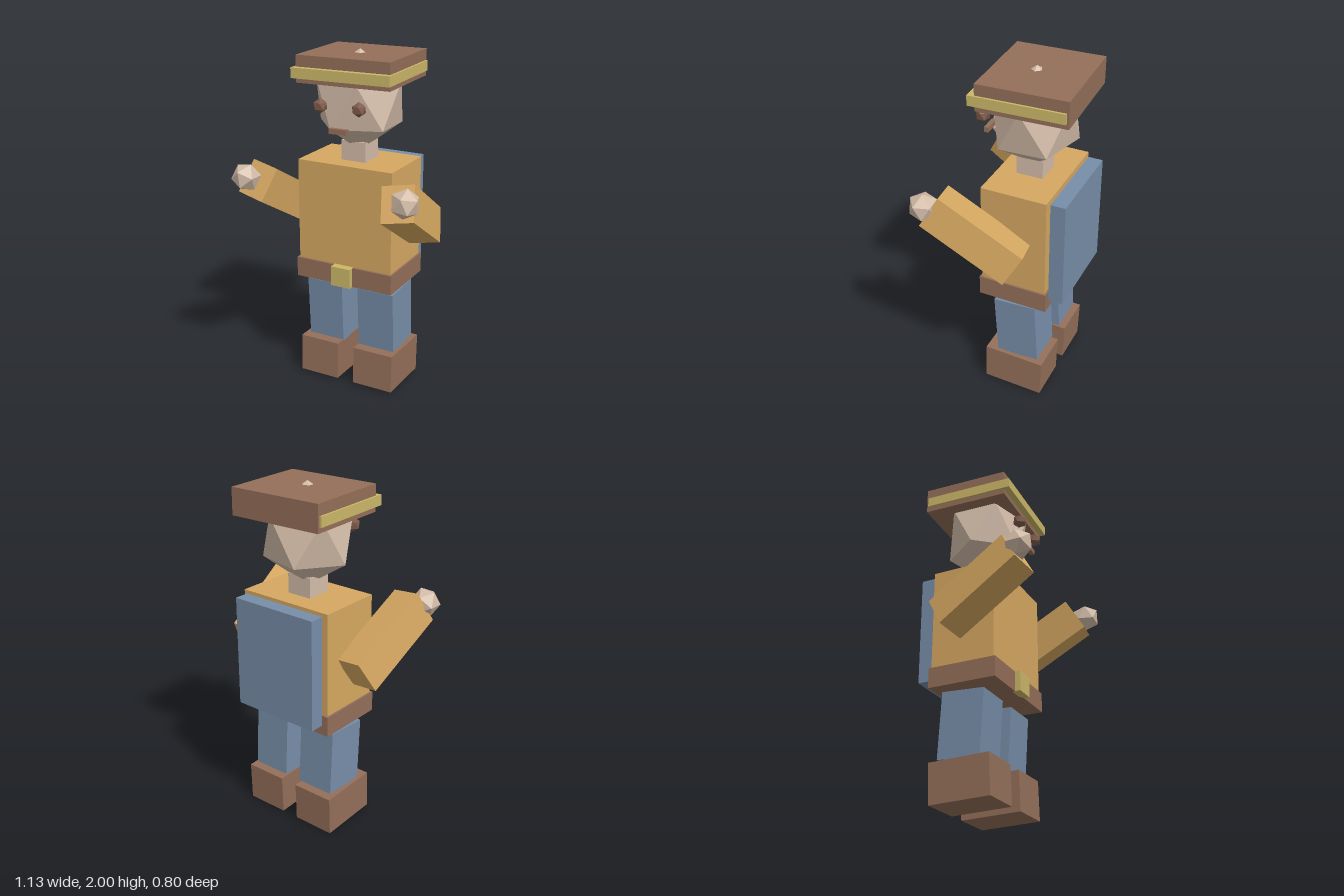
import * as THREE from 'three';

const material = (name, color) => Object.assign(new THREE.MeshStandardMaterial({ color }), { name });

export function createModel() {
  const shirt = material('shirt tan', 0xd6a861);
  const brown = material('leather brown', 0x946f59);
  const blue = material('denim blue', 0x778ea9);
  const skin = material('skin', 0xd4bda9);
  const gold = material('gold trim', 0xcbb768);
  const eyeBrown = material('eye brown', 0x7f5a49);

  const model = new THREE.Group();
  model.name = 'figure';

  const add = (parent, name, geometry, mat, position) => {
    const mesh = new THREE.Mesh(geometry, mat);
    mesh.name = name;
    mesh.position.set(...position);
    parent.add(mesh);
    return mesh;
  };
  const box = (parent, name, size, mat, position) =>
    add(parent, name, new THREE.BoxGeometry(...size), mat, position);

  // Faceted ball with one corner pointing straight up
  const facetedBall = (rx, ry = rx, rz = rx) =>
    new THREE.IcosahedronGeometry(1, 0)
      .rotateZ(-Math.atan(2 / (1 + Math.sqrt(5))))
      .scale(rx, ry, rz);

  // Body
  box(model, 'torso', [0.595, 0.6, 0.385], shirt, [0, 1.075, -0.112]);
  box(model, 'belt', [0.617, 0.118, 0.41], brown, [0, 0.716, -0.11]);
  box(model, 'buckle', [0.122, 0.118, 0.05], gold, [0, 0.716, 0.103]);
  box(model, 'backpack', [0.54, 0.645, 0.086], blue, [0, 1.038, -0.359]);
  box(model, 'neck', [0.155, 0.12, 0.155], skin, [0, 1.43, -0.108]);

  // Head group, turned slightly to its left
  const head = new THREE.Group();
  head.name = 'head';
  head.position.set(0, 0, -0.11);
  head.rotation.y = 0.044;
  model.add(head);
  add(head, 'skull', facetedBall(0.28, 0.29, 0.26), skin, [0, 1.71, 0]);
  box(head, 'hat', [0.563, 0.153, 0.509], brown, [0, 1.902, -0.027]);
  box(head, 'hatBand', [0.588, 0.058, 0.533], gold, [0, 1.885, -0.002]);
  box(head, 'mouth', [0.105, 0.03, 0.026], brown, [0, 1.591, 0.271]);

  for (const side of [-1, 1]) {
    const label = side > 0 ? 'left' : 'right';
    add(head, `${label}Eye`, facetedBall(0.042), eyeBrown, [side * 0.116, 1.72, 0.258]);

    // Raised arm with a faceted hand
    const turn = [-0.534, side * 0.083, side * 0.22];
    box(model, `${label}Arm`, [0.181, 0.204, 0.546], shirt, [side * 0.413, 1.147, 0.058])
      .rotation.set(...turn);
    add(model, `${label}Hand`, facetedBall(0.085).rotateX(Math.PI / 2), skin,
      [side * 0.492, 1.305, 0.323]).rotation.set(...turn);

    // Leg and boot, each tipped a little
    box(model, `${label}Leg`, [0.231, 0.383, 0.255], blue, [side * 0.168, 0.431, -0.1215])
      .rotation.x = 0.055;
    box(model, `${label}Boot`, [0.254, 0.231, 0.36], brown, [side * 0.18, 0.122, -0.113])
      .rotation.x = -0.035;
  }
  return model;
}
